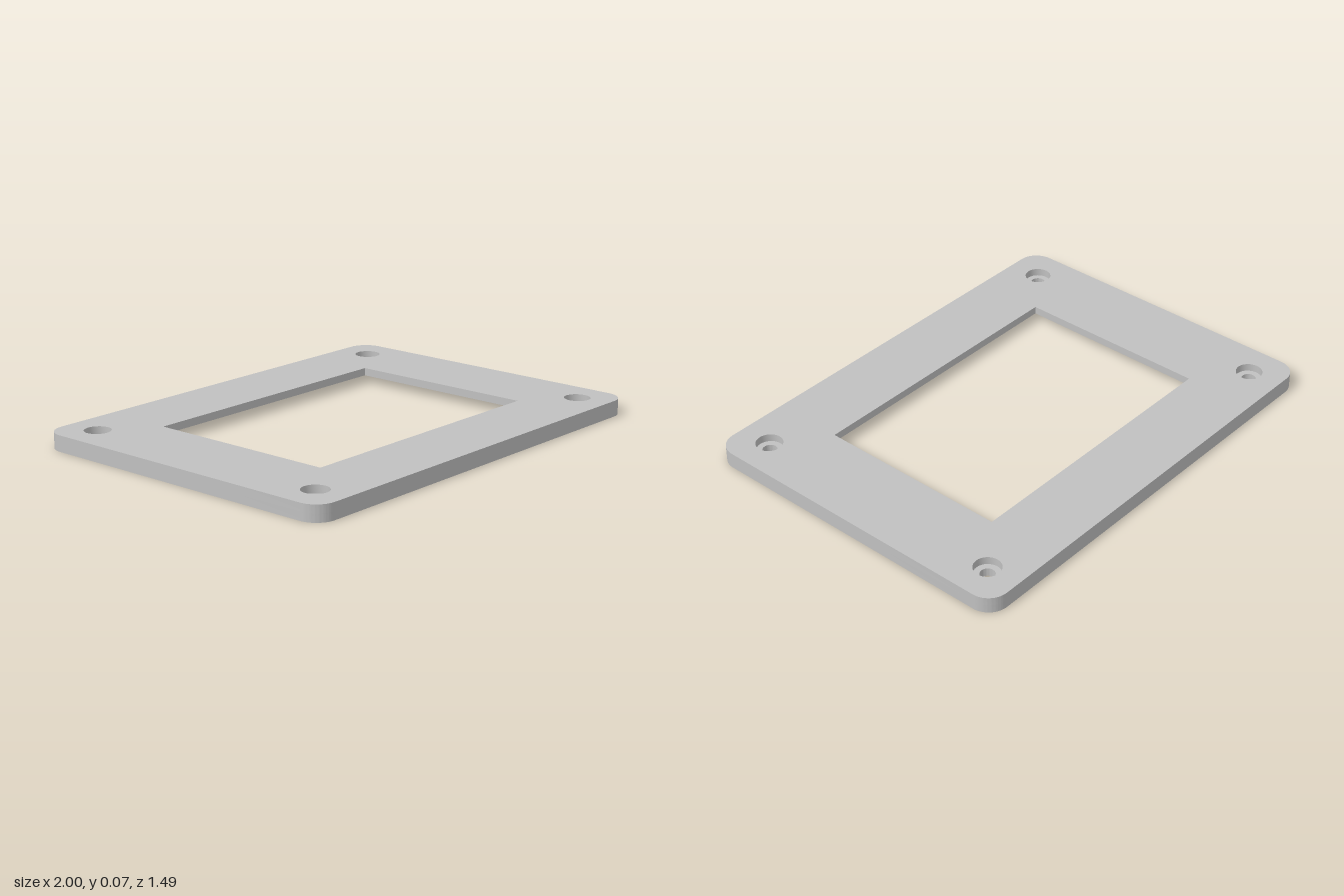
import * as THREE from 'three';
import { toCreasedNormals } from 'three/addons/utils/BufferGeometryUtils.js';

const HALF_X = 1, HALF_Z = 0.745, CORNER = 0.09, HEIGHT = 0.07;
const STEP = 0.036; // height of the rear recess and of the screw seats

function roundedOutline(w, h, r) {
  const s = new THREE.Shape();
  s.absarc(w - r, h - r, r, 0, Math.PI / 2);
  s.absarc(-w + r, h - r, r, Math.PI / 2, Math.PI);
  s.absarc(-w + r, -h + r, r, Math.PI, Math.PI * 1.5);
  s.absarc(w - r, -h + r, r, Math.PI * 1.5, Math.PI * 2);
  s.closePath();
  return s;
}

// One flat layer of the bezel: rectangular opening plus four round holes
function layer(name, material, openX, openZ, holeRadius, y, height) {
  const shape = roundedOutline(HALF_X, HALF_Z, CORNER);
  shape.holes.push(new THREE.Path([
    new THREE.Vector2(-openX, -openZ), new THREE.Vector2(-openX, openZ),
    new THREE.Vector2(openX, openZ), new THREE.Vector2(openX, -openZ),
  ]));
  for (const sx of [-1, 1]) for (const sz of [-1, 1]) {
    shape.holes.push(new THREE.Path().absarc(sx * 0.848, sz * 0.594, holeRadius, 0, Math.PI * 2, true));
  }
  const extruded = new THREE.ExtrudeGeometry(shape, { depth: height, bevelEnabled: false, curveSegments: 16 });
  extruded.rotateX(-Math.PI / 2);
  const mesh = new THREE.Mesh(toCreasedNormals(extruded, Math.PI / 5), material);
  mesh.name = name;
  mesh.position.y = y;
  return mesh;
}

export function createModel() {
  const grey = new THREE.MeshStandardMaterial({ color: 0xc0c0c0 });
  grey.name = 'light grey';
  const group = new THREE.Group();
  group.name = 'bezelFrame';
  // Lower layer: wide recess and narrow screw holes
  group.add(layer('recessedBase', grey, 0.785, 0.525, 0.031, 0, STEP));
  // Upper layer: window opening and wide counterbores
  group.add(layer('facePlate', grey, 0.637, 0.43, 0.057, STEP, HEIGHT - STEP));
  return group;
}
